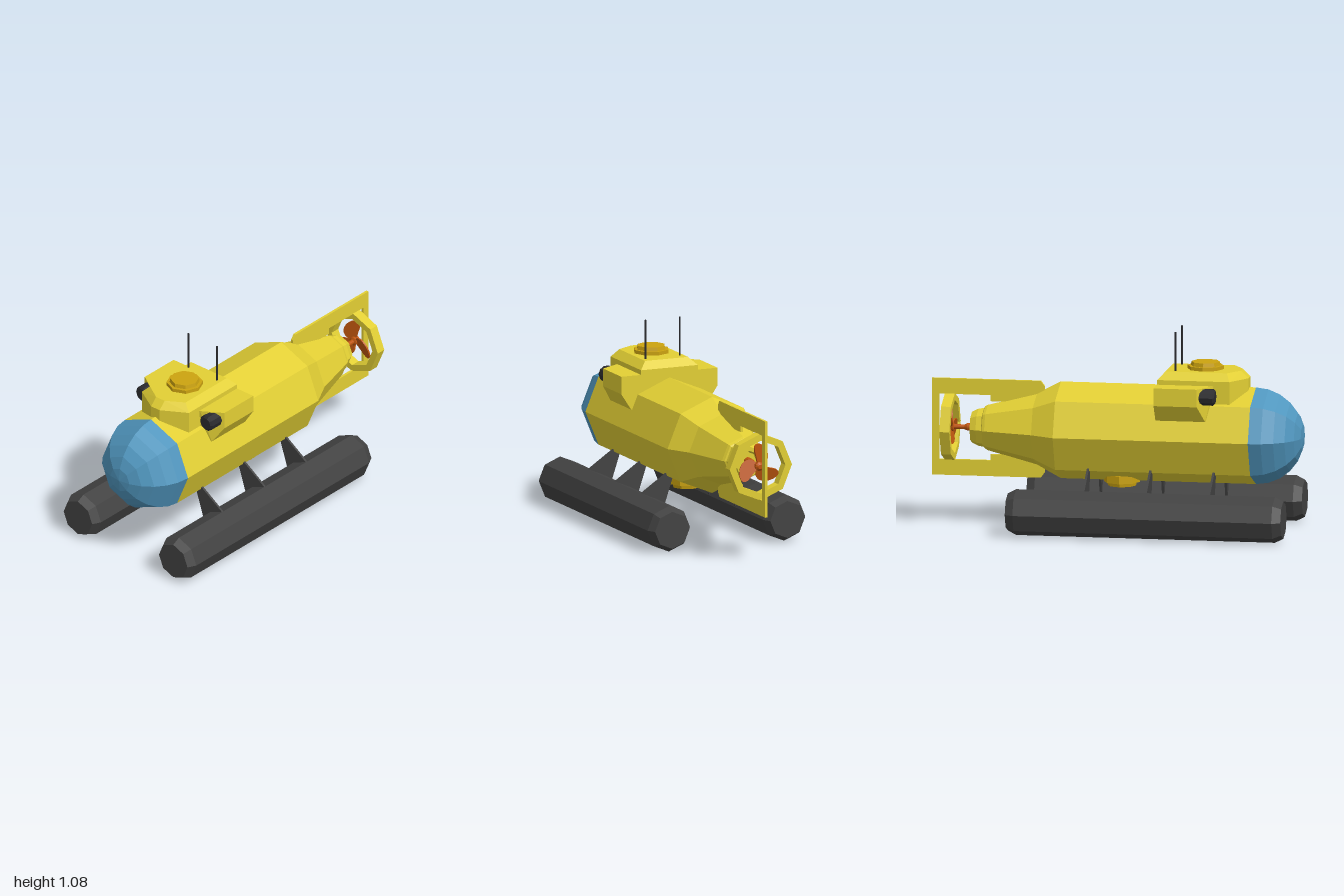
import * as THREE from 'three';
import { ConvexGeometry } from 'three/addons/geometries/ConvexGeometry.js';

const mat = (name, color, side = THREE.FrontSide) => {
  const m = new THREE.MeshStandardMaterial({ color, side });
  m.name = name;
  return m;
};

export function createModel() {
  const model = new THREE.Group();
  model.name = 'submarine';
  const yellow = mat('hullYellow', 0xe2cf34);
  const gold = mat('hatchGold', 0xcca310);
  const blue = mat('canopyBlue', 0x5096be);
  const grey = mat('floatGrey', 0x424242);
  const black = mat('antennaBlack', 0x2b2b2e);
  const orange = mat('propellerOrange', 0xbf560f);
  const AXIS = 0.512; // height of the hull axis

  const add = (name, geo, material, x = 0, y = 0, z = 0) => {
    const mesh = new THREE.Mesh(geo, material);
    mesh.name = name;
    mesh.position.set(x, y, z);
    model.add(mesh);
    return mesh;
  };
  // faceted normals
  const flat = (geo) => {
    const g = geo.index ? geo.toNonIndexed() : geo;
    g.computeVertexNormals();
    return g;
  };
  // octagonal solid along x from [x, radius] pairs
  const turned = (profile, sides = 8) => flat(
    new THREE.LatheGeometry(profile.map(([x, r]) => new THREE.Vector2(r, x)), sides).rotateZ(-Math.PI / 2));
  const convex = (pts) => flat(new ConvexGeometry(pts.map((p) => new THREE.Vector3(...p))));

  // main hull with tapered, recessed stern
  add('hull', turned([[-0.74, 0.26], [0.308, 0.26], [0.436, 0.192], [0.7, 0.122], [0.715, 0.114],
    [0.72, 0.105], [0.75, 0.1], [0.785, 0.083], [0.785, 0.06], [0.76, 0.05], [0.76, 0]]), yellow, 0, AXIS);

  // domed glass nose
  const dome = [];
  for (let i = 0; i <= 6; i++) {
    const a = (i / 6) * Math.PI / 2;
    dome.push([-0.74 - 0.26 * Math.cos(a), 0.26 * Math.sin(a)]);
  }
  add('noseCanopy', turned(dome), blue, 0, AXIS);

  // tower with chamfered roof
  const tower = [];
  for (const s of [-1, 1]) {
    for (const y of [0.7, 0.825]) tower.push([-0.705, y, 0.03 * s], [-0.625, y, 0.165 * s], [-0.238, y, 0.165 * s]);
    tower.push([-0.665, 0.865, 0.03 * s], [-0.605, 0.865, 0.125 * s], [-0.275, 0.865, 0.125 * s]);
  }
  add('tower', convex(tower), yellow);

  // top and bottom hatches
  const hatch = (name, x, y, dir, base) => {
    const parts = [[0.097, base, base / 2], [0.08, 0.02, base + 0.01]];
    parts.forEach(([r, h, off], i) => add(`${name}${i ? 'Lid' : 'Rim'}`,
      flat(new THREE.CylinderGeometry(i && dir > 0 ? r * 0.95 : r, i && dir < 0 ? r * 0.95 : r, h, 8)),
      gold, x, y + dir * off, 0));
  };
  hatch('topHatch', -0.47, 0.862, 1, 0.022);
  hatch('keelHatch', -0.02, 0.287, -1, 0.042);

  // parts mirrored on both sides
  for (const s of [1, -1]) {
    const side = s > 0 ? 'front' : 'back';

    // side pod, its nose slanting backwards
    const section = [[0.8, 0.1, -0.54], [0.8, 0.17, -0.54], [0.8, 0.28, -0.47], [0.705, 0.28, -0.47],
      [0.617, 0.222, -0.505], [0.617, 0.1, -0.54]];
    add(`${side}SidePod`, convex(section.flatMap(([y, z, x]) => [[x, y, z * s], [-0.238, y, z * s]])), yellow);

    // lamp set into the pod
    add(`${side}Lamp`, turned([[-0.56, 0], [-0.56, 0.034], [-0.55, 0.045], [-0.46, 0.045], [-0.46, 0]], 10),
      black, 0, 0.752, 0.225 * s);

    add(`${side}Antenna`, new THREE.CylinderGeometry(0.005, 0.005, 0.22, 8), black, -0.325, 0.965, 0.1 * s);

    // float and its three struts
    add(`${side}Float`, turned([[-0.945, 0], [-0.945, 0.1], [-0.9, 0.123], [0.49, 0.123], [0.535, 0.1], [0.535, 0]]),
      grey, 0, 0.123, 0.335 * s);
    const strut = [[0.345, 0.185], [0.315, 0.152], [0.12, 0.216], [0.12, 0.335], [0.243, 0.335]];
    [-0.545, -0.205, 0.13].forEach((x, i) => add(`${side}Strut${i + 1}`,
      convex(strut.flatMap(([y, z]) => [[x - 0.006, y, z * s], [x + 0.006, y, z * s]])), grey));
  }

  // flat tail fin frame
  const v2 = (pts) => pts.map(([x, y]) => new THREE.Vector2(x, y));
  const fin = new THREE.Shape(v2([[0.415, 0.252], [1, 0.252], [1, 0.772], [0.415, 0.772], [0.395, 0.745], [0.395, 0.28]]));
  fin.holes.push(new THREE.Path(v2([[0.54, 0.655], [0.685, 0.655], [0.685, 0.688], [0.96, 0.688],
    [0.96, 0.337], [0.685, 0.337], [0.685, 0.37], [0.54, 0.37]])));
  add('tailFin', new THREE.ExtrudeGeometry(fin, { depth: 0.014, bevelEnabled: false }), yellow, 0, 0, -0.007);

  // octagonal propeller ring
  add('propellerRing', turned([[0.877, 0.143], [0.877, 0.181], [0.93, 0.181], [0.93, 0.143], [0.877, 0.143]]), yellow, 0, AXIS);

  // shaft, hub and three blades
  add('propellerShaft', turned([[0.75, 0.022], [0.81, 0.02], [0.825, 0.013], [0.88, 0.013], [0.885, 0.024],
    [0.915, 0.024], [0.925, 0.012], [0.925, 0]], 12), orange, 0, AXIS);
  const outline = new THREE.Shape();
  outline.moveTo(-0.005, 0.0);
  outline.splineThru(v2([[-0.018, 0.05], [-0.03, 0.095], [-0.018, 0.12], [0.015, 0.117], [0.052, 0.085],
    [0.064, 0.045], [0.05, 0.015], [0.018, 0.0]]));
  for (let k = 0; k < 3; k++) {
    const blade = new THREE.ExtrudeGeometry(outline, { depth: 0.008, bevelEnabled: false, curveSegments: 24 });
    blade.translate(0, 0, -0.004).rotateY(Math.PI / 2 + 0.3).rotateX(k * Math.PI * 2 / 3);
    add(`propellerBlade${k + 1}`, blade, orange, 0.9, AXIS, 0);
  }
  return model;
}
